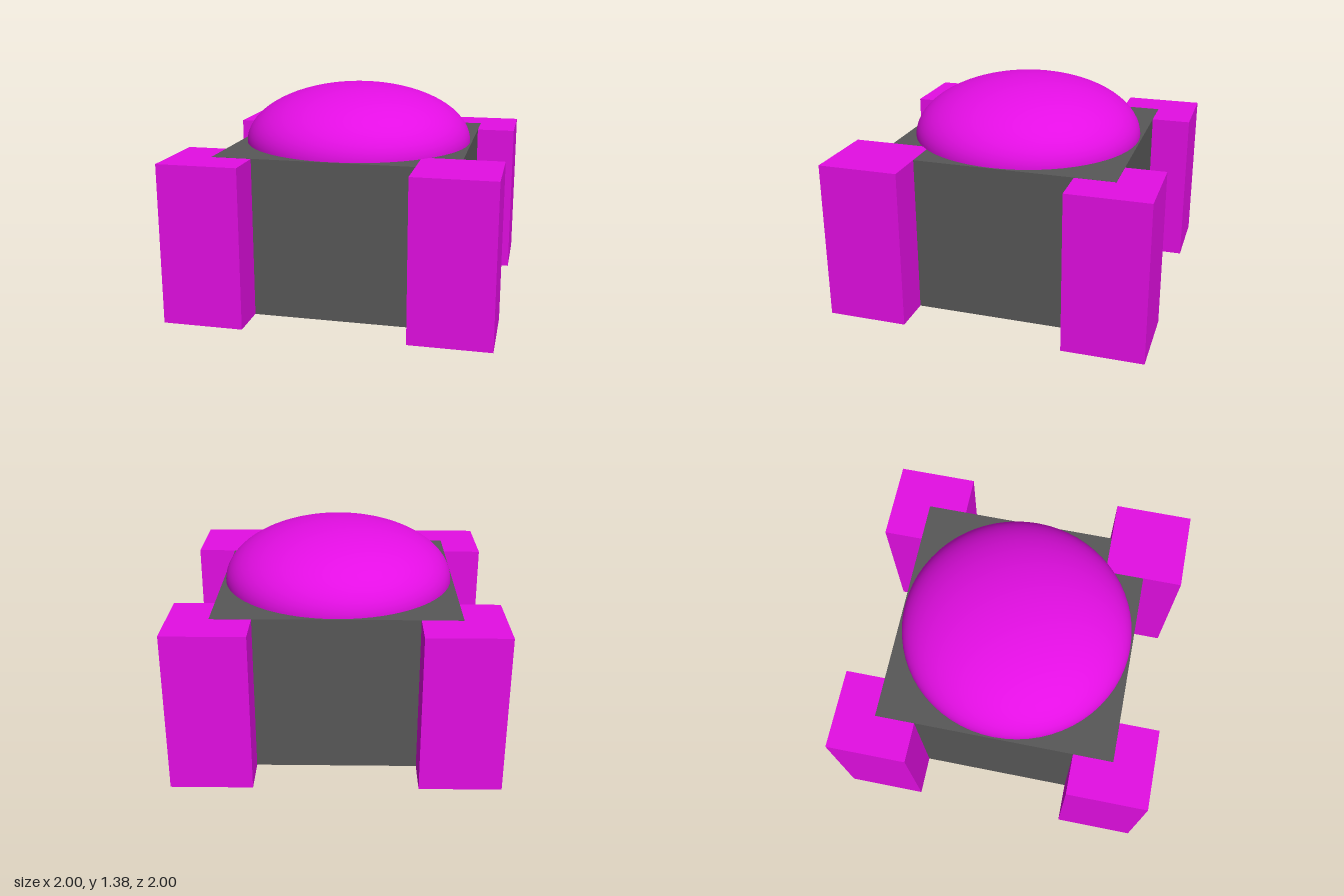
import * as THREE from 'three';

export function createModel() {
  const model = new THREE.Group();
  const magenta = new THREE.MeshStandardMaterial({ name: 'magenta', color: 0xe40ee4 });
  const darkGrey = new THREE.MeshStandardMaterial({ name: 'darkGrey', color: 0x585858 });

  // Box spanning the heights y0 to y1, centred on (x, z)
  function block(name, size, y0, y1, x, z, material) {
    const mesh = new THREE.Mesh(new THREE.BoxGeometry(size, y1 - y0, size), material);
    mesh.name = name;
    mesh.position.set(x, (y0 + y1) / 2, z);
    model.add(mesh);
  }

  // Square body
  block('body', 1.5, 0.001, 1, 0, 0, darkGrey);

  // Corner pillars, stepped by a hair so overlapping faces never coincide
  for (const sx of [-1, 1]) {
    for (const sz of [-1, 1]) {
      const name = (sz > 0 ? 'front' : 'back') + (sx > 0 ? 'Left' : 'Right') + 'Pillar';
      const top = sx > 0 && sz > 0 ? 1.001 : 0.999;
      block(name, 0.5, sz > 0 ? 0.002 : 0, top, sx * 0.75, sz * 0.75, magenta);
    }
  }

  // Flattened dome
  const dome = new THREE.Mesh(
    new THREE.SphereGeometry(1, 64, 20, 0, Math.PI * 2, 0, Math.PI / 2), magenta);
  dome.name = 'dome';
  dome.scale.set(0.74, 0.375, 0.74);
  dome.position.y = 1;
  model.add(dome);

  return model;
}
